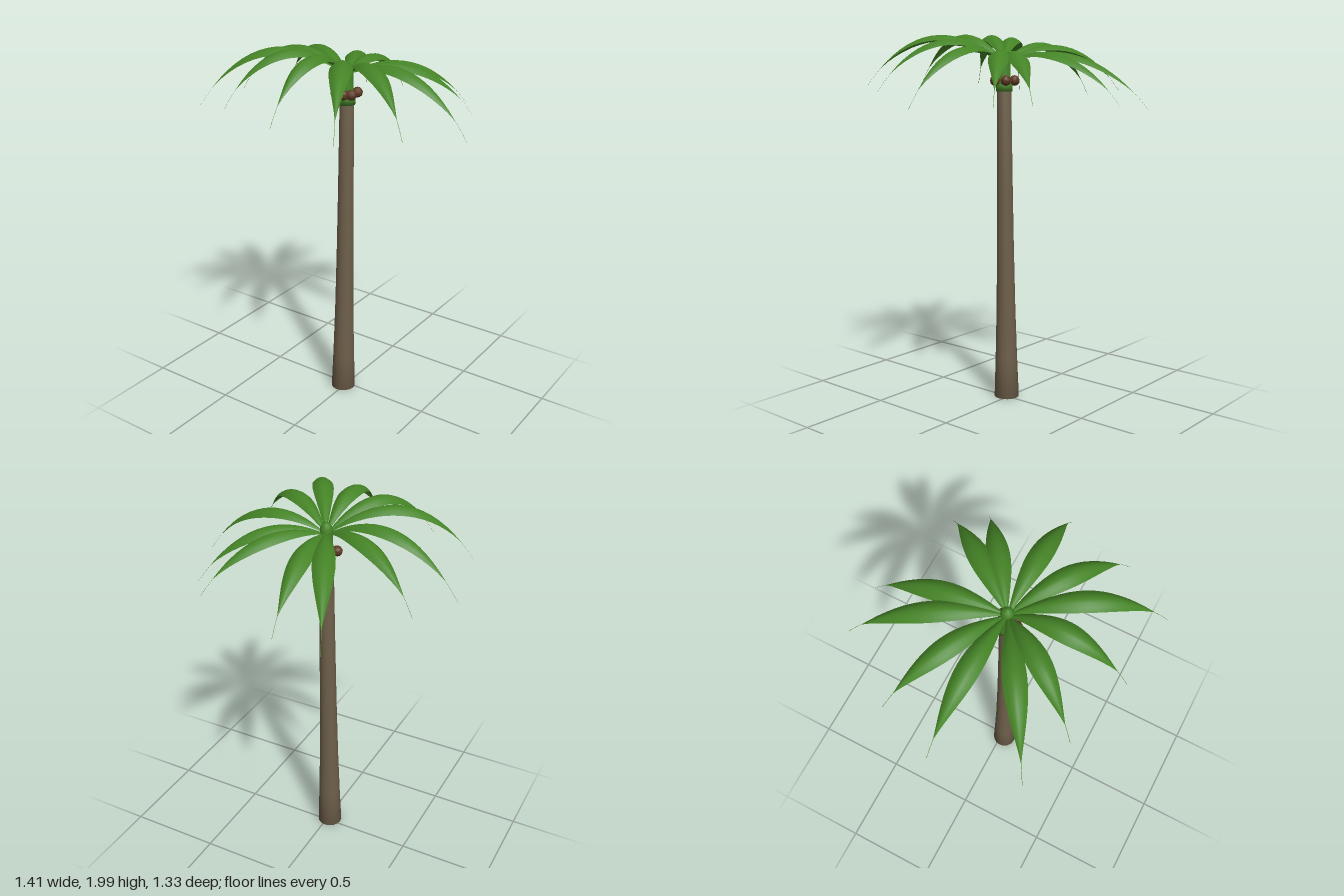
import * as THREE from 'three';

export function createModel() {
  const bark = new THREE.MeshStandardMaterial({ name: 'bark brown', color: 0x6e5f4a });
  const leaf = new THREE.MeshStandardMaterial({ name: 'leaf green', color: 0x458426, side: THREE.DoubleSide });
  const bud = new THREE.MeshStandardMaterial({ name: 'bud green', color: 0x458426 });
  const nut = new THREE.MeshStandardMaterial({ name: 'coconut brown', color: 0x5f3a25, flatShading: true });

  const palm = new THREE.Group();
  palm.name = 'palmTree';
  const cx = 0.011, cz = 0.018; // crown centre

  const add = (parent, name, geometry, material) => {
    const mesh = new THREE.Mesh(geometry, material);
    mesh.name = name;
    parent.add(mesh);
    return mesh;
  };
  const lathe = (profile, sides) =>
    new THREE.LatheGeometry(profile.map(([r, y]) => new THREE.Vector2(r, y)), sides);

  // Trunk: tapered, flared at the foot, leaning slightly to one side
  const trunk = lathe([[0, 0], [0.068, 0], [0.06, 0.22], [0.052, 0.5], [0.046, 0.85],
    [0.042, 1.2], [0.038, 1.69], [0, 1.7]], 16);
  const p = trunk.attributes.position;
  for (let i = 0; i < p.count; i++) {
    const t = p.getY(i) / 1.7;
    p.setX(i, p.getX(i) - 0.013 + (cx + 0.013) * t);
    p.setZ(i, p.getZ(i) + 0.021 + (cz - 0.021) * t);
  }
  add(palm, 'trunk', trunk, bark);

  // Crown bud: collar around the trunk top, shaft and domed tip
  add(palm, 'crownBud', lathe([[0, 1.685], [0.044, 1.688], [0.045, 1.72], [0.035, 1.745],
    [0.033, 1.84], [0.031, 1.872], [0.02, 1.895], [0, 1.903]], 14), bud)
    .position.set(cx, 0, cz);

  // Coconuts clustered round the shaft
  const coconuts = new THREE.Group();
  coconuts.name = 'coconuts';
  palm.add(coconuts);
  [[-0.043, 0.036], [0.009, 0.046], [0.043, 0.025], [0.036, -0.042], [-0.034, -0.042]].forEach(([x, z], i) => {
    const m = add(coconuts, 'coconut' + (i + 1), new THREE.IcosahedronGeometry(0.028, 1), nut);
    m.position.set(cx + x, 1.745, cz + z);
    m.rotation.y = i * 1.3;
  });

  // Frond: arched leaf blade swept along a drooping curve, ending in a thin spike
  function frondGeometry(tx, ty, tz) {
    const dx = tx - cx, dz = tz - cz, reach = Math.hypot(dx, dz);
    const d = new THREE.Vector3(dx / reach, 0, dz / reach);
    const side = new THREE.Vector3(-d.z, 0, d.x);
    const curve = new THREE.QuadraticBezierCurve3(
      new THREE.Vector3(cx, 1.84, cz),
      new THREE.Vector3(cx + dx * 0.56, 2.1 + 0.14 * tz - 0.04 * tx, cz + dz * 0.56),
      new THREE.Vector3(tx, ty, tz));
    const rows = 18, cols = 6, pos = [], index = [];
    for (let i = 0; i <= rows; i++) {
      const t = i / rows;
      const c = curve.getPoint(t), tan = curve.getTangent(t);
      const up = new THREE.Vector3().crossVectors(side, tan).normalize();
      const w = 0.001 + 0.054 * Math.sin(Math.PI * Math.min(t / 0.88, 1));
      for (let j = 0; j <= cols; j++) {
        const u = j / cols * 2 - 1;
        const v = c.clone().addScaledVector(side, u * w).addScaledVector(up, -u * u * w * 0.55);
        pos.push(v.x, v.y, v.z);
        if (i < rows && j < cols) {
          const a = i * (cols + 1) + j, b = a + cols + 1;
          index.push(a, a + 1, b, a + 1, b + 1, b);
        }
      }
    }
    const g = new THREE.BufferGeometry();
    g.setAttribute('position', new THREE.Float32BufferAttribute(pos, 3));
    g.setIndex(index);
    g.computeVertexNormals();
    return g;
  }

  // Tip position of every frond
  const fronds = new THREE.Group();
  fronds.name = 'fronds';
  palm.add(fronds);
  [
    [-0.32, 1.6, -0.665], [-0.07, 1.62, -0.66], [0.42, 1.64, -0.5], [0.53, 1.63, -0.355],
    [0.705, 1.615, 0.026], [0.57, 1.69, 0.39], [0.39, 1.715, 0.665], [0.011, 1.715, 0.635],
    [-0.36, 1.72, 0.53], [-0.62, 1.67, 0.425], [-0.705, 1.655, -0.016], [-0.595, 1.685, -0.305],
  ].forEach((tip, i) => add(fronds, 'frond' + (i + 1), frondGeometry(...tip), leaf));

  return palm;
}
